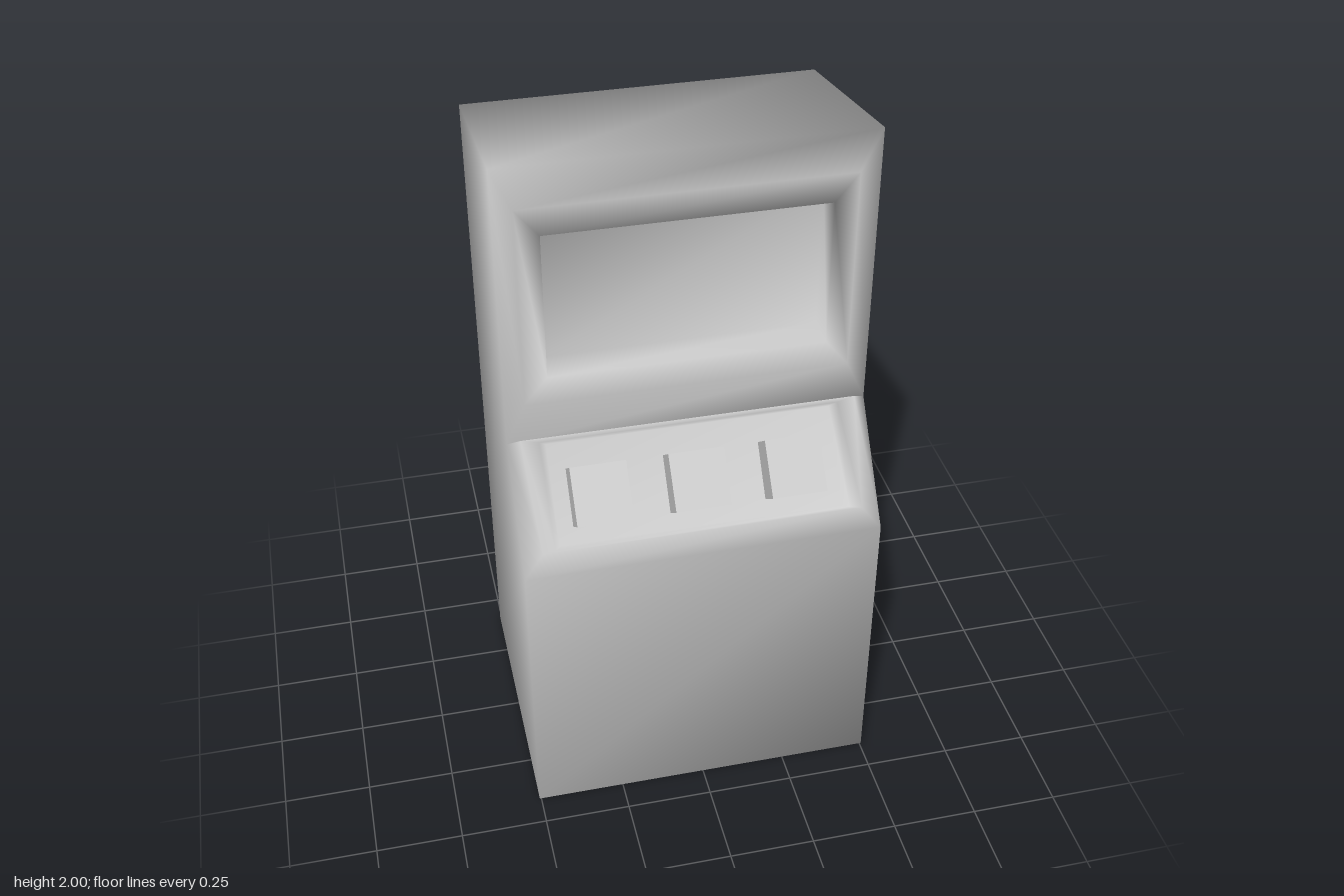
import * as THREE from 'three';
import { mergeVertices } from 'three/addons/utils/BufferGeometryUtils.js';

const W = 0.505; // half width of the cabinet

// Side profile as [z, y], from the front foot up and over to the back foot
const PROFILE = [[0.41, 0], [0.41, 0.87], [0.19, 1.17], [0.19, 2], [-0.41, 1.89], [-0.41, 0]];

// Four corners facing forward: half widths plus bottom and top [z, y]
function rect(bottom, top, wBottom, wTop = wBottom) {
  return [
    [-wBottom, bottom[1], bottom[0]], [wBottom, bottom[1], bottom[0]],
    [wTop, top[1], top[0]], [-wTop, top[1], top[0]],
  ];
}

function cabinetGeometry() {
  const pos = [];
  const tri = (a, b, c) => pos.push(...a, ...b, ...c);
  const quad = (a, b, c, d) => { tri(a, b, c); tri(a, c, d); };
  // Nested rectangles joined by strips, the last one closed
  const rings = (list) => {
    for (let k = 0; k + 1 < list.length; k++) {
      const o = list[k], n = list[k + 1];
      for (let i = 0; i < 4; i++) {
        const j = (i + 1) % 4;
        quad(o[i], o[j], n[j], n[i]);
      }
    }
    quad(...list[list.length - 1]);
  };

  const [A, B, C, D, E, F] = PROFILE;

  // Plain faces: lower front, top, back, underside
  for (const [p, q] of [[A, B], [D, E], [E, F], [F, A]]) quad(...rect(p, q, W));

  // Sloping control panel with a raised rim and a shallow tray
  rings([
    rect(B, C, W),
    rect([0.395, 0.94], [0.21, 1.19], 0.45, 0.47),
    rect([0.39, 0.945], [0.215, 1.18], 0.415, 0.42),
    rect([0.366, 0.935], [0.2, 1.16], 0.4),
  ]);

  // Upper front with the recessed screen
  rings([
    rect(C, D, W),
    rect([0.19, 1.29], [0.19, 1.88], 0.45),
    rect([0.19, 1.37], [0.19, 1.8], 0.385),
    rect([0.09, 1.37], [0.09, 1.8], 0.385),
  ]);

  // Side walls, fanned from the back foot
  const at = (x, p) => [x, p[1], p[0]];
  for (let i = 0; i < 4; i++) {
    const p = PROFILE[i], q = PROFILE[i + 1];
    tri(at(W, F), at(W, q), at(W, p));
    tri(at(-W, F), at(-W, p), at(-W, q));
  }

  // Shared corners give the soft shading
  let geo = new THREE.BufferGeometry();
  geo.setAttribute('position', new THREE.Float32BufferAttribute(pos, 3));
  geo = mergeVertices(geo, 1e-4);
  geo.computeVertexNormals();
  return geo;
}

export function createModel() {
  const group = new THREE.Group();
  group.name = 'arcadeCabinet';
  const grey = new THREE.MeshStandardMaterial({ color: 0xcccccc });

  const cabinet = new THREE.Mesh(cabinetGeometry(), grey);
  cabinet.name = 'cabinet';
  group.add(cabinet);

  // Three block buttons standing square to the control panel
  const tilt = 0.675, depth = 0.1;
  const buttonGeo = new THREE.BoxGeometry(0.155, 0.16, depth);
  [-0.278, -0.007, 0.263].forEach((x, i) => {
    const button = new THREE.Mesh(buttonGeo, grey);
    button.name = `button${i + 1}`;
    button.position.set(x, 1.092 - Math.sin(tilt) * depth / 2, 0.36 - Math.cos(tilt) * depth / 2);
    button.rotation.x = -tilt;
    group.add(button);
  });

  return group;
}
